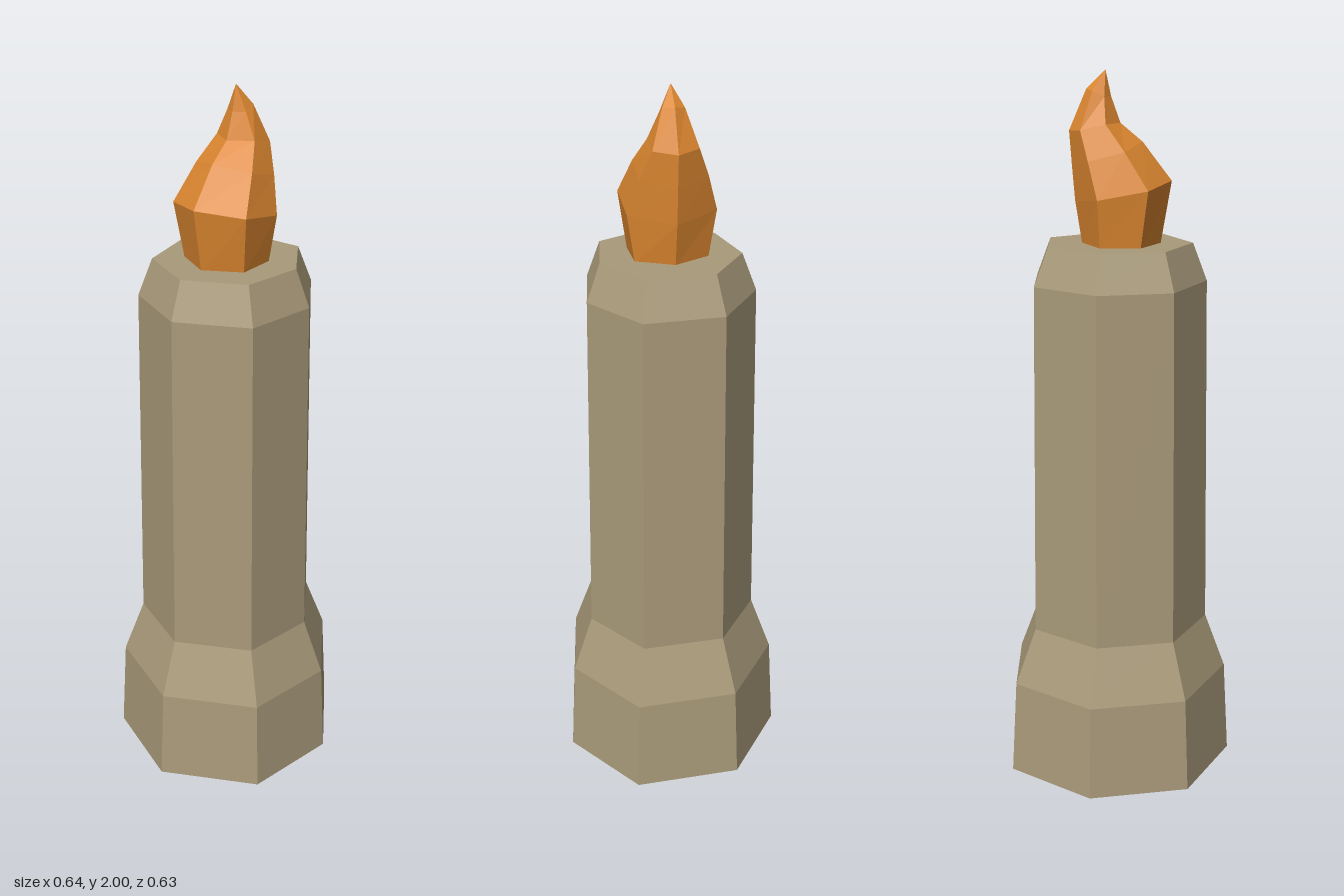
import * as THREE from 'three';

// Skin a stack of rings (arrays of [x, y, z]); optionally close the top with a fan.
function loft(rings, capTop) {
  const pos = [];
  const tri = (a, b, c) => pos.push(...a, ...b, ...c);
  for (let r = 0; r < rings.length - 1; r++) {
    const lo = rings[r], hi = rings[r + 1], n = lo.length;
    for (let i = 0; i < n; i++) {
      const j = (i + 1) % n;
      tri(lo[i], lo[j], hi[j]);
      tri(lo[i], hi[j], hi[i]);
    }
  }
  if (capTop) {
    const top = rings[rings.length - 1];
    for (let i = 1; i < top.length - 1; i++) tri(top[0], top[i], top[i + 1]);
  }
  const geo = new THREE.BufferGeometry();
  geo.setAttribute('position', new THREE.Float32BufferAttribute(pos, 3));
  geo.computeVertexNormals();
  return geo;
}

export function createModel() {
  const group = new THREE.Group();
  const make = (name, color) => {
    const m = new THREE.MeshStandardMaterial({ color, side: THREE.DoubleSide, flatShading: true });
    m.name = name;
    return m;
  };
  const wax = make('wax', 0xa99a7a);
  const fire = make('flame orange', 0xdc8730);

  // Candle: slightly uneven seven-sided outline, hollow and open underneath
  const outline = [[-0.323, 0.003], [-0.195, 0.266], [0.081, 0.313], [0.32, 0.155],
    [0.315, -0.145], [0.084, -0.315], [-0.195, -0.259]];
  const levels = [[0, 1], [0.27, 0.955], [0.43, 0.775], [1.43, 0.742], [1.535, 0.62]]; // height, scale
  const candle = new THREE.Mesh(
    loft(levels.map(([y, s]) => outline.map(([x, z]) => [x * s, y, z * s])), true), wax);
  candle.name = 'candle';
  group.add(candle);

  // Flame: six-sided, each level gives [x, y] of left, mid-left, mid-right, right and half depth
  const flameLevels = [
    [[-0.11, 1.53], [-0.055, 1.53], [0.055, 1.53], [0.105, 1.53], 0.1],
    [[-0.14, 1.705], [-0.075, 1.69], [0.061, 1.665], [0.124, 1.65], 0.121],
    [[-0.06, 1.81], [-0.012, 1.79], [0.086, 1.765], [0.132, 1.745], 0.092],
    [[0.0, 1.86], [0.039, 1.86], [0.107, 1.845], [0.139, 1.84], 0.062],
    [[0.025, 1.93], [0.043, 1.93], [0.075, 1.945], [0.092, 1.95], 0.03],
    [[0.04, 2], [0.04, 2], [0.04, 2], [0.04, 2], 0],
  ];
  const flame = new THREE.Mesh(loft(flameLevels.map(([l, ml, mr, r, d]) => [
    [...l, 0], [...ml, d], [...mr, d], [...r, 0], [...mr, -d], [...ml, -d],
  ])), fire);
  flame.name = 'flame';
  group.add(flame);

  return group;
}
